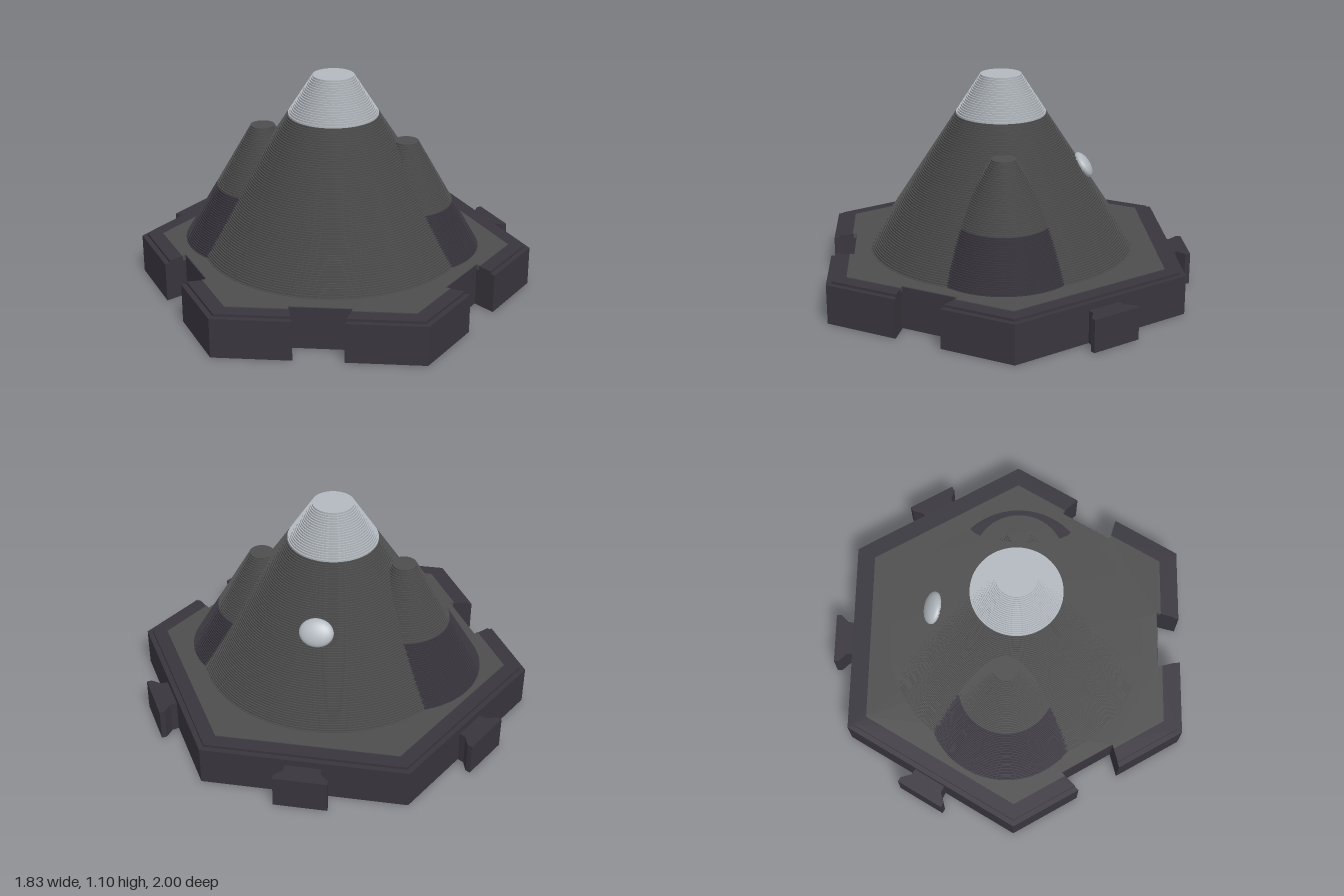
import * as THREE from 'three';
import { toCreasedNormals } from 'three/addons/utils/BufferGeometryUtils.js';

const TILE_X = -0.05; // hexagon centre; the tabs on one side balance it
const STEP = 0.01;    // height of one terrace

const rock = new THREE.MeshStandardMaterial({ color: 0x4d4d4d });
rock.name = 'rock grey';
const basalt = new THREE.MeshStandardMaterial({ color: 0x38353d });
basalt.name = 'dark basalt';
const snow = new THREE.MeshStandardMaterial({ color: 0xb2b8be });
snow.name = 'snow';

// Point given by distance along a side's normal (n) and along the side (t)
function sidePoint(side, n, t) {
  const a = side * Math.PI / 3;
  return new THREE.Vector2(
    n * Math.cos(a) - t * Math.sin(a),
    n * Math.sin(a) + t * Math.cos(a));
}

// Hexagon outline with dovetail notches on sides 3 to 5
function tileShape(radius, notchDepth = 0.75) {
  const n = radius * Math.cos(Math.PI / 6);
  const points = [];
  for (let side = 0; side < 6; side++) {
    points.push(sidePoint(side, n, -radius / 2));
    if (side < 3) continue;
    const mouth = 0.12 + (0.866 - n) * 0.26;
    points.push(
      sidePoint(side, n, -mouth), sidePoint(side, notchDepth, -0.15),
      sidePoint(side, notchDepth, 0.15), sidePoint(side, n, mouth));
  }
  return new THREE.Shape(points);
}

// Upright slab from a ground-plane shape
function slab(name, shape, y0, y1, material) {
  const geometry = new THREE.ExtrudeGeometry(shape, {
    depth: y1 - y0, bevelEnabled: false, curveSegments: 24 });
  geometry.rotateX(-Math.PI / 2);
  const mesh = new THREE.Mesh(geometry, material);
  mesh.name = name;
  mesh.position.y = y0;
  return mesh;
}

// Terraced cone section, closed on top
function terraces(name, y0, r0, y1, r1, material, segments) {
  const count = Math.round((y1 - y0) / STEP);
  const profile = [];
  for (let i = 0; i < count; i++) {
    const r = THREE.MathUtils.lerp(r0, r1, (i + 0.5) / count);
    profile.push(
      new THREE.Vector2(r, THREE.MathUtils.lerp(y0, y1, i / count)),
      new THREE.Vector2(r, THREE.MathUtils.lerp(y0, y1, (i + 1) / count)));
  }
  profile.push(new THREE.Vector2(0, y1));
  const geometry = toCreasedNormals(new THREE.LatheGeometry(profile, segments), 0.5);
  const mesh = new THREE.Mesh(geometry, material);
  mesh.name = name;
  return mesh;
}

export function createModel() {
  const model = new THREE.Group();
  model.name = 'volcanoTile';
  const tile = new THREE.Group();
  tile.name = 'tile';
  tile.position.x = TILE_X;
  model.add(tile);

  // Base with a round socket underneath
  const footShape = tileShape(1);
  footShape.holes.push(new THREE.Path().absarc(0, 0, 0.1, 0, Math.PI * 2, true));
  tile.add(slab('baseFoot', footShape, 0, 0.07, basalt));
  tile.add(slab('baseBody', tileShape(1), 0.07, 0.2, basalt));
  tile.add(slab('baseRim', tileShape(0.97), 0.2, 0.213, basalt));
  tile.add(slab('ground', tileShape(0.89, 0.748), 0.19, 0.217, rock));

  // Dovetail tabs on the three remaining sides
  for (let side = 0; side < 3; side++) {
    const outline = [
      [0.84, -0.085], [0.9, -0.09], [0.94, -0.13], [0.965, -0.13],
      [0.965, 0.13], [0.94, 0.13], [0.9, 0.09], [0.84, 0.085],
    ].map(([n, t]) => sidePoint(side, n, t));
    tile.add(slab('connectorTab', new THREE.Shape(outline), 0, 0.165, basalt));
  }

  // Main mountain and its pale summit
  tile.add(terraces('mountain', 0.21, 0.675, 0.9, 0.228, rock, 80));
  tile.add(terraces('snowCap', 0.9, 0.228, 1.1, 0.1, snow, 80));

  // Two smaller cones on the flanks, dark at the foot
  const flanks = [
    { x: -0.34, z: -0.22, base: 0.41, split: 0.5, mid: 0.24, top: 0.815 },
    { x: 0.26, z: 0.19, base: 0.375, split: 0.455, mid: 0.235, top: 0.77 },
  ];
  for (const f of flanks) {
    const flank = new THREE.Group();
    flank.name = 'flankCone';
    flank.position.set(f.x, 0, f.z);
    flank.add(terraces('flankFoot', 0.21, f.base, f.split, f.mid, basalt, 56));
    flank.add(terraces('flankPeak', f.split, f.mid, f.top, 0.058, rock, 56));
    model.add(flank);
  }

  // Pale patch lying on the rear slope
  const patch = new THREE.Mesh(new THREE.SphereGeometry(1, 24, 16), snow);
  patch.name = 'slopePatch';
  patch.position.set(0.17, 0.62, -0.355);
  patch.scale.set(0.085, 0.07, 0.035);
  const out = new THREE.Vector3(0.22, 0.27, -0.355);
  patch.lookAt(patch.position.clone().add(out));
  model.add(patch);

  return model;
}
